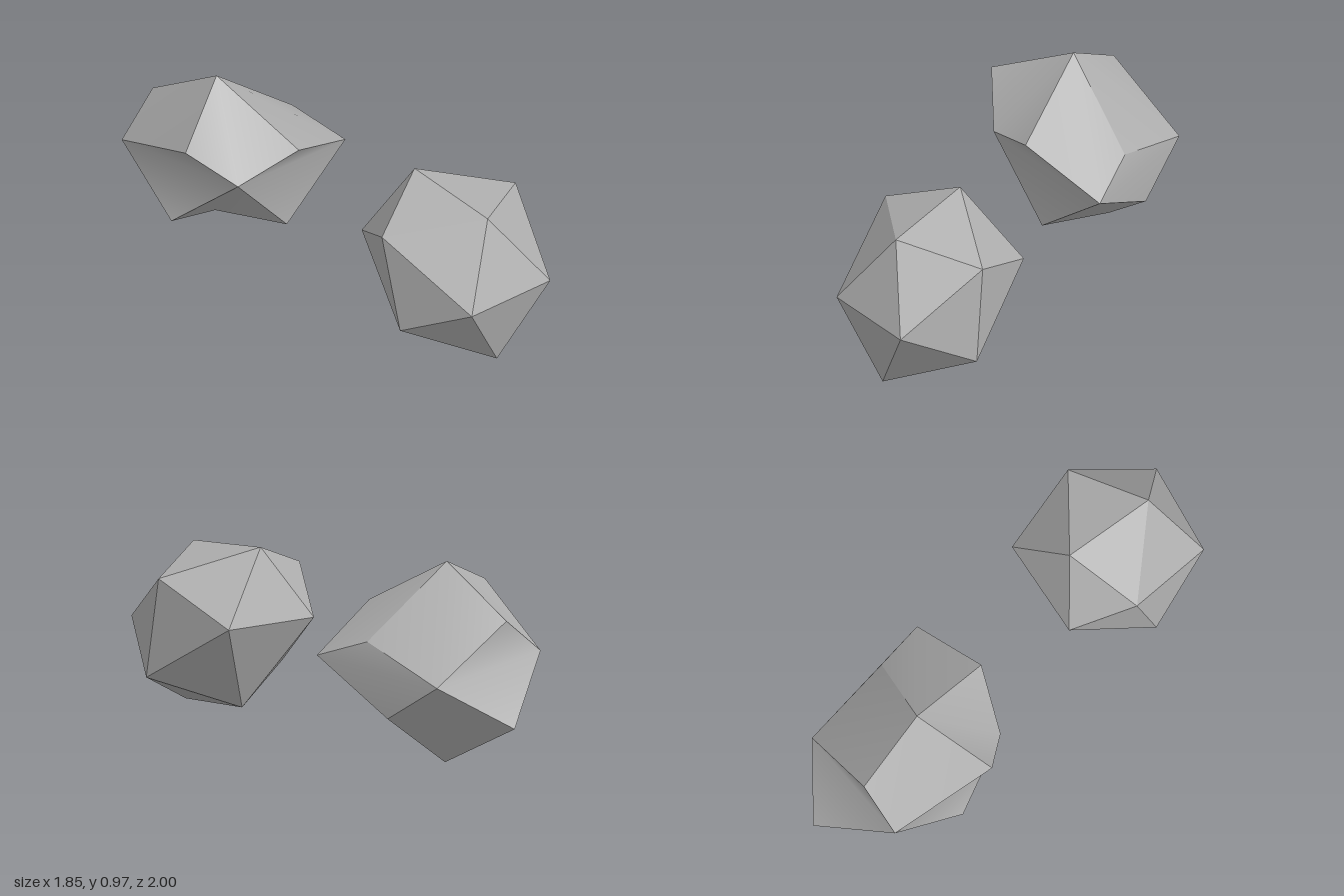
import * as THREE from 'three';
import { ConvexGeometry } from 'three/addons/geometries/ConvexGeometry.js';

const V = (x, y, z) => new THREE.Vector3(x, y, z);

// Irregular twenty-sided rock
function makeTriangularRock() {
  return new ConvexGeometry([
    V(0.34, 0.875, 0.33), V(0.62, 0.825, 0.735), V(0.84, 0.725, 0.355), V(0.11, 0.725, 0.645),
    V(0.92, 0.44, 0.795), V(0.485, 0.44, 0.998), V(0.08, 0.52, 0.31), V(0.53, 0.525, 0.06),
    V(0.18, 0.21, 0.745), V(0.65, 0.012, 0.81), V(0.895, 0.22, 0.40), V(0.43, 0.07, 0.34),
  ]);
}

// Irregular rhombic rock: six tips and eight corners; one four-sided face for each pair of tips
function makeRhombicRock() {
  // tips[axis] = [negative end, positive end]
  const tips = [
    [V(-0.925, 0.54, -0.61), V(0.155, 0.505, -0.43)],
    [V(-0.45, 0, -0.645), V(-0.48, 0.97, -0.473)],
    [V(-0.37, 0.45, -0.98), V(-0.46, 0.59, -0.062)],
  ];
  // corners[x + 2y + 4z], each bit being 0 for the negative side and 1 for the positive
  const corners = [
    V(-0.75, 0.24, -1.0), V(-0.154, 0.25, -0.75), V(-0.74, 0.725, -0.75), V(-0.07, 0.61, -0.62),
    V(-0.75, 0.27, -0.265), V(-0.18, 0.185, -0.23), V(-0.71, 0.795, -0.12), V(-0.14, 0.71, -0.135),
  ];
  const centre = V(-0.41, 0.51, -0.53);
  const positions = [], index = [];

  for (let axis = 0; axis < 3; axis++) {
    const next = (axis + 1) % 3, other = (axis + 2) % 3;
    for (const s of [0, 1]) for (const t of [0, 1]) {
      const bits = (s << axis) + (t << next);
      const a = tips[axis][s], b = tips[next][t];
      let c = corners[bits], d = corners[bits + (1 << other)];
      // Turn the face outwards
      const normal = b.clone().sub(a).cross(d.clone().sub(c));
      const outward = a.clone().add(b).multiplyScalar(0.5).sub(centre);
      if (normal.dot(outward) < 0) [c, d] = [d, c];
      const n = positions.length / 3;
      for (const p of [a, c, b, d]) positions.push(p.x, p.y, p.z);
      index.push(n, n + 1, n + 2, n, n + 2, n + 3);
    }
  }
  const geometry = new THREE.BufferGeometry();
  geometry.setAttribute('position', new THREE.Float32BufferAttribute(positions, 3));
  geometry.setIndex(index);
  geometry.computeVertexNormals();
  return geometry;
}

export function createModel() {
  const group = new THREE.Group();
  const material = new THREE.MeshStandardMaterial({ color: 0xb0b0b0 });
  const add = (name, geometry) => {
    const mesh = new THREE.Mesh(geometry, material);
    mesh.name = name;
    group.add(mesh);
  };
  add('triangularRock', makeTriangularRock());
  add('rhombicRock', makeRhombicRock());
  return group;
}
